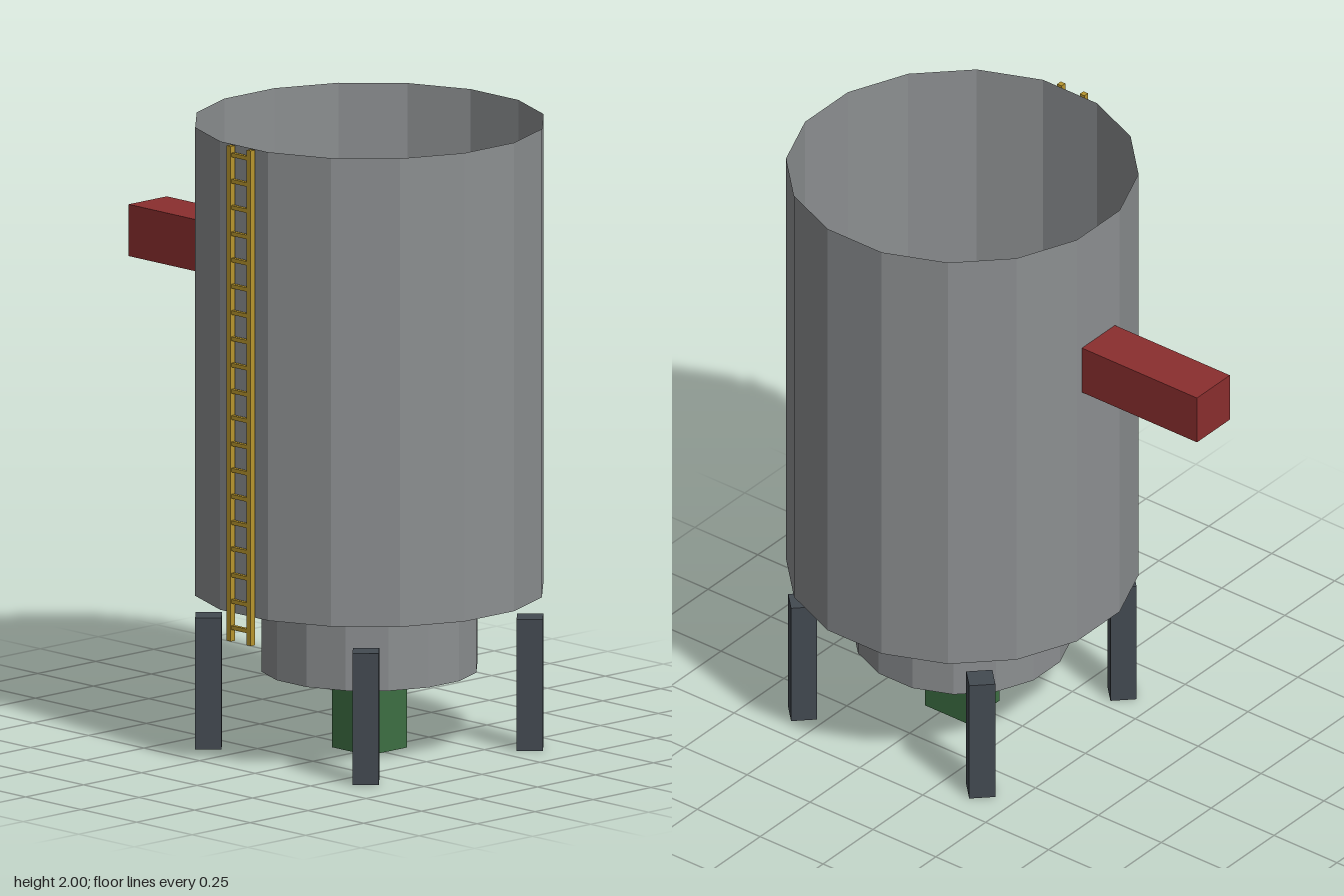
import * as THREE from 'three';

const CX = 0.228, CZ = -0.014; // axis of the tank

function material(name, color, extra = {}) {
  const m = new THREE.MeshStandardMaterial({ color, flatShading: true, ...extra });
  m.name = name;
  return m;
}

export function createModel() {
  const group = new THREE.Group();
  const steel = material('steel grey', 0x8c8f91);
  const shell = material('shell grey', 0x8c8f91, { side: THREE.DoubleSide });
  const red = material('duct red', 0x8a2e2e);
  const green = material('outlet green', 0x3d6e42);
  const dark = material('leg slate', 0x434a51);
  const yellow = material('ladder yellow', 0xb8962e);

  function add(parent, name, geometry, mat, x, y, z) {
    const mesh = new THREE.Mesh(geometry, mat);
    mesh.name = name;
    mesh.position.set(x, y, z);
    parent.add(mesh);
    return mesh;
  }

  // 16-sided drum between two heights, flat sides facing the axes
  function drum(apothem, y0, y1, open) {
    const r = apothem / Math.cos(Math.PI / 16);
    return new THREE.CylinderGeometry(r, r, y1 - y0, 16, 1, open).rotateY(Math.PI / 16);
  }

  // Thin tank wall, open at both ends, above a closed hopper
  add(group, 'tankShell', drum(0.54, 0.505, 2, true), shell, CX, 1.2525, CZ);
  add(group, 'hopper', drum(0.335, 0.255, 0.505, false), steel, CX, 0.38, CZ);
  add(group, 'outlet', new THREE.BoxGeometry(0.165, 0.255, 0.165), green, CX, 0.1275, CZ);
  add(group, 'sideDuct', new THREE.BoxGeometry(0.457, 0.165, 0.165), red, -0.5415, 1.5025, CZ);

  // Four legs turned to face the axis
  for (const sx of [-1, 1]) for (const sz of [-1, 1]) {
    const leg = add(group, 'leg', new THREE.BoxGeometry(0.082, 0.42, 0.082), dark,
      CX + sx * 0.354, 0.21, CZ + sz * 0.354);
    leg.rotation.y = Math.PI / 4;
  }

  // Ladder on the front
  const ladder = new THREE.Group();
  ladder.name = 'ladder';
  ladder.position.set(0.232, 0, 0.544);
  group.add(ladder);
  for (const s of [-1, 1])
    add(ladder, 'ladderRail', new THREE.BoxGeometry(0.018, 1.58, 0.018), yellow, s * 0.045, 1.21, 0);
  for (let i = 0; i < 19; i++)
    add(ladder, 'ladderRung', new THREE.BoxGeometry(0.075, 0.013, 0.013), yellow, 0, 0.464 + i * 0.0838, 0);

  return group;
}
